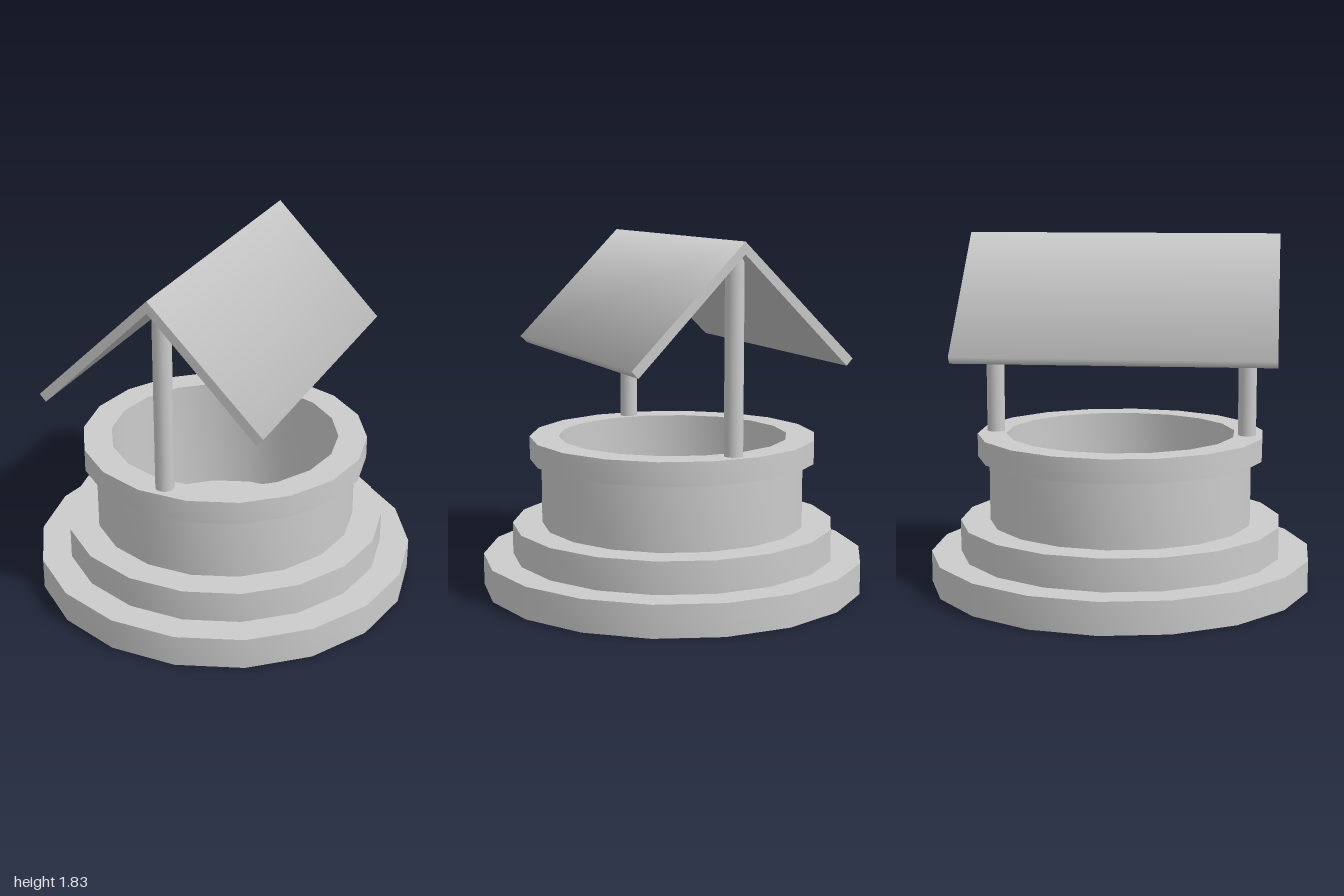
import * as THREE from 'three';
import { toCreasedNormals } from 'three/addons/utils/BufferGeometryUtils.js';

const SIDES = 18;

// Average the normals of the extruded sides so they run smoothly round the outline
function smoothOutline(geometry) {
  const pos = geometry.attributes.position, nor = geometry.attributes.normal;
  const sums = new Map();
  const isSide = (i) => Math.abs(nor.getZ(i)) < 0.5;
  const key = (i) => `${pos.getX(i).toFixed(3)},${pos.getY(i).toFixed(3)}`;
  for (let i = 0; i < pos.count; i++) {
    if (!isSide(i)) continue;
    if (!sums.has(key(i))) sums.set(key(i), new THREE.Vector3());
    sums.get(key(i)).add(new THREE.Vector3().fromBufferAttribute(nor, i));
  }
  for (let i = 0; i < pos.count; i++) {
    if (!isSide(i)) continue;
    const n = sums.get(key(i)).clone().normalize();
    nor.setXYZ(i, n.x, n.y, n.z);
  }
  return geometry;
}

export function createModel() {
  const model = new THREE.Group();
  model.name = 'well';
  const grey = new THREE.MeshStandardMaterial({ color: 0xcccccc });
  const shell = new THREE.MeshStandardMaterial({ color: 0xcccccc, side: THREE.DoubleSide });

  const add = (name, geometry, material = grey) => {
    const mesh = new THREE.Mesh(geometry, material);
    mesh.name = name;
    model.add(mesh);
    return mesh;
  };

  // Stepped base, wall, rim, inner wall and floor: one thin shell, open underneath
  const profile = [
    [1, 0], [1, 0.165], [0.845, 0.165], [0.845, 0.33], [0.69, 0.33], [0.69, 0.67],
    [0.75, 0.67], [0.75, 0.79], [0.6, 0.79], [0.6, 0.165], [0, 0.165],
  ].map(([r, y]) => new THREE.Vector2(r, y));
  const basin = new THREE.LatheGeometry(profile, SIDES, Math.PI / 2);
  add('stoneBasin', toCreasedNormals(basin, 0.6), shell);

  // Two posts standing on the rim
  const bottom = 0.79, top = 1.77;
  for (const [name, z] of [['frontPost', 0.66], ['backPost', -0.66]]) {
    const post = add(name, new THREE.CylinderGeometry(0.047, 0.047, top - bottom, SIDES));
    post.position.set(-0.024, (top + bottom) / 2, z);
  }

  // Gabled roof slab running front to back
  const outline = new THREE.Shape([
    [-0.613, 1.25], [-0.58, 1.215], [-0.02, 1.77], [0.525, 1.215], [0.56, 1.25], [-0.02, 1.83],
  ].map(([x, y]) => new THREE.Vector2(x, y)));
  const roof = new THREE.ExtrudeGeometry(outline, { depth: 1.593, bevelEnabled: false });
  add('roof', smoothOutline(roof)).position.z = -0.778;

  return model;
}
